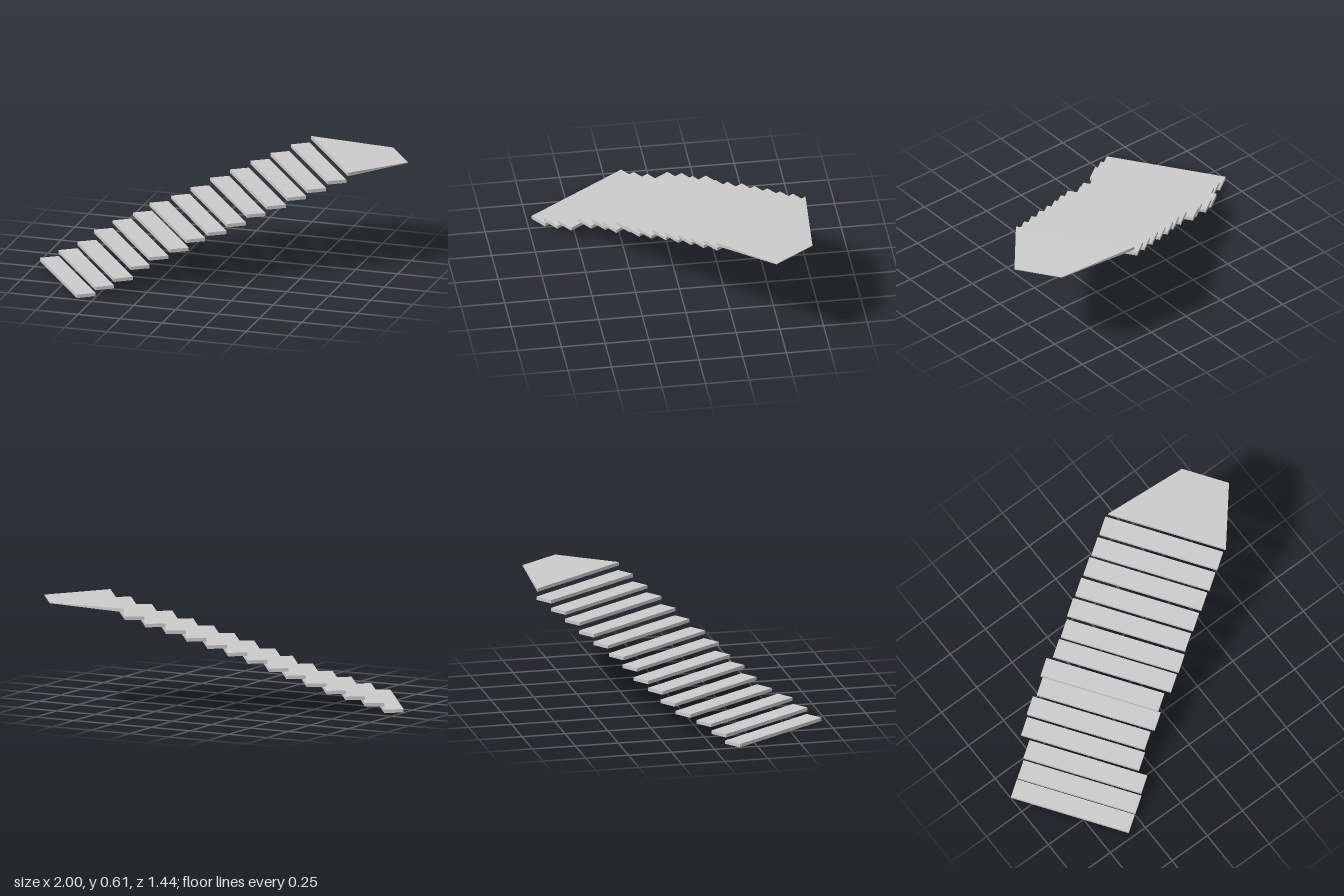
import * as THREE from 'three';

const YAW = Math.atan2(0.5755, 0.8177); // heading shared by every tread
const LENGTH = 0.70, WIDTH = 0.111, THICK = 0.02;

// Tread centres [x, y, z] from bottom to top
const TREADS = [
  [-0.752, 0.011, 0.402], [-0.661, 0.048, 0.344], [-0.570, 0.087, 0.279],
  [-0.506, 0.131, 0.173], [-0.415, 0.175, 0.106], [-0.309, 0.218, 0.060],
  [-0.233, 0.263, -0.006], [-0.116, 0.306, -0.042], [-0.019, 0.349, -0.098],
  [0.077, 0.394, -0.165], [0.178, 0.435, -0.223], [0.280, 0.479, -0.281],
  [0.381, 0.518, -0.338], [0.482, 0.560, -0.398],
];

export function createModel() {
  const model = new THREE.Group();
  model.name = 'floatingStaircase';
  const material = new THREE.MeshStandardMaterial({ color: 0xcccccc, flatShading: true });

  const add = (name, geometry, [x, y, z]) => {
    const mesh = new THREE.Mesh(geometry, material);
    mesh.name = name;
    mesh.position.set(x, y, z);
    mesh.rotation.y = YAW;
    model.add(mesh);
  };

  // Treads: identical thin slabs
  const slab = new THREE.BoxGeometry(WIDTH, THICK, LENGTH);
  TREADS.forEach((centre, i) => add(`tread${i + 1}`, slab, centre));

  // Landing: a slab whose far end narrows, thins and shifts sideways
  const depth = 0.388;
  const landing = new THREE.BoxGeometry(depth, THICK, LENGTH);
  landing.translate(depth / 2, 0, 0);
  const p = landing.attributes.position;
  for (let i = 0; i < p.count; i++) {
    if (p.getX(i) > depth / 2) {
      p.setY(i, p.getY(i) * 0.2);
      p.setZ(i, p.getZ(i) * 0.4 + 0.105);
    }
  }
  landing.computeVertexNormals();
  add('landing', landing, [0.54, 0.603, -0.4215]);

  return model;
}
